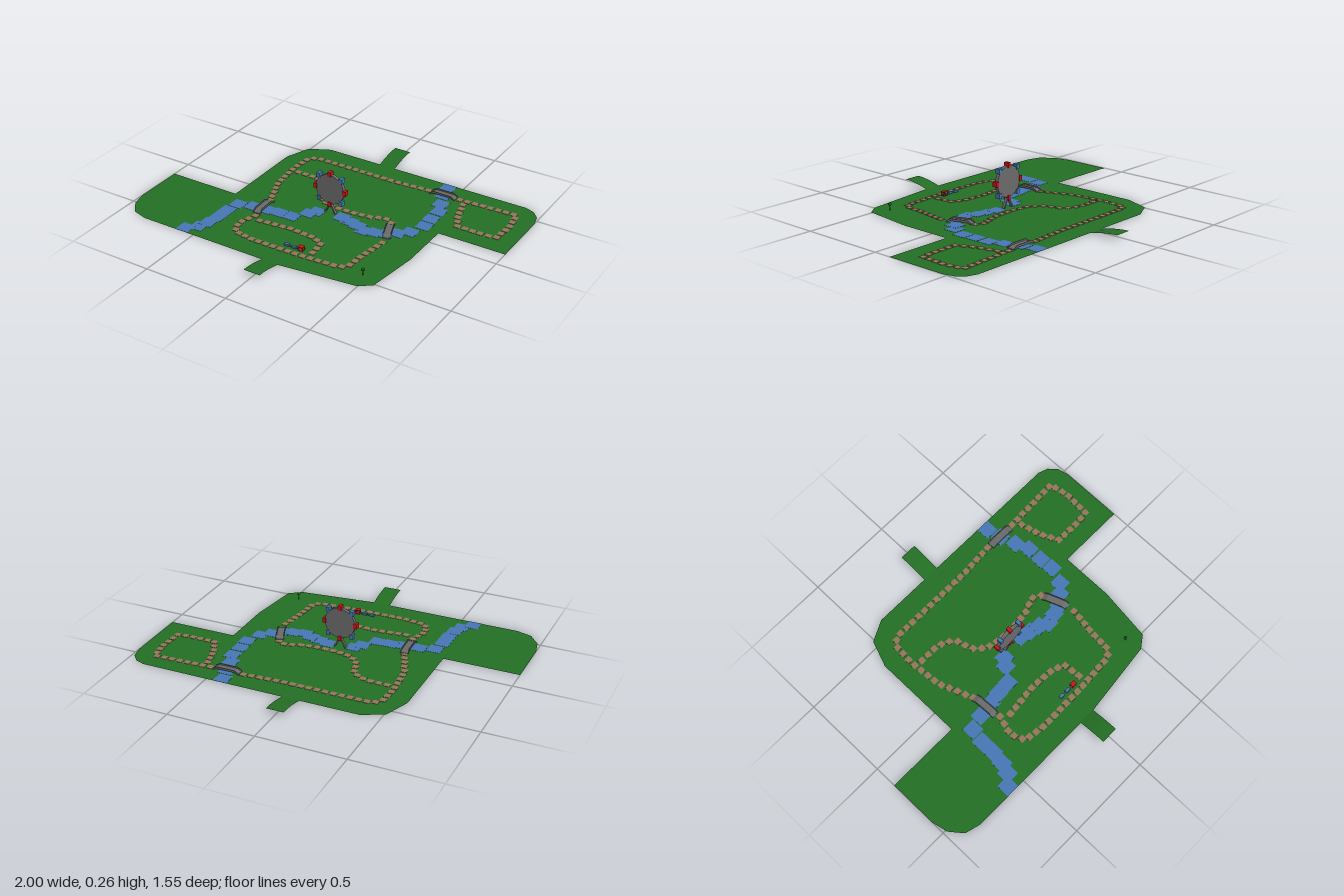
import * as THREE from 'three';

const mat = (color, side = THREE.FrontSide) => new THREE.MeshStandardMaterial({ color, side, flatShading: true });
const grass = mat(0x236e24, THREE.DoubleSide);
const water = mat(0x4676b4);
const paving = mat(0x96735a);
const stone = mat(0x696969);
const red = mat(0xcc1118);
const blue = mat(0x4676b4);
const wood = mat(0x7a5a3c);
const leaf = mat(0x1f6b22);

function add(parent, name, geometry, material, x = 0, y = 0, z = 0) {
  const mesh = new THREE.Mesh(geometry, material);
  mesh.name = name;
  mesh.position.set(x, y, z);
  parent.add(mesh);
  return mesh;
}
const box = (w, h, d) => new THREE.BoxGeometry(w, h, d);

// Square stones spaced evenly along a polyline of [x, z] points
function layPath(parent, points, step = 0.047) {
  const path = new THREE.CurvePath();
  for (let i = 1; i < points.length; i++) {
    path.add(new THREE.LineCurve(new THREE.Vector2(...points[i - 1]), new THREE.Vector2(...points[i])));
  }
  const n = Math.max(1, Math.round(path.getLength() / step));
  for (let i = 0; i <= n; i++) {
    const p = path.getPointAt(i / n);
    add(parent, 'pathStone', box(0.034, 0.002, 0.034), paving, p.x, 0.003, p.y);
  }
}

// Arched strip, trapezoid in profile, running along local x
function archStrip(length, rise, thick, width) {
  const h = length / 2, t = h * 0.68;
  const shape = new THREE.Shape([
    [-h, 0], [-t, rise - thick], [t, rise - thick], [h, 0],
    [h, thick], [t, rise], [-t, rise], [-h, thick],
  ].map(([x, y]) => new THREE.Vector2(x, y)));
  return new THREE.ExtrudeGeometry(shape, { depth: width, bevelEnabled: false }).translate(0, 0, -width / 2);
}

function makeBridge(x, z, angle, length) {
  const bridge = new THREE.Group();
  bridge.name = 'bridge';
  add(bridge, 'bridgeDeck', archStrip(length, 0.015, 0.005, 0.042), stone);
  for (const s of [-1, 1]) add(bridge, 'bridgeRail', archStrip(length, 0.023, 0.009, 0.005), stone, 0, 0, s * 0.021);
  bridge.position.set(x, 0.001, z);
  bridge.rotation.y = angle;
  return bridge;
}

// Curved tongue of grass rising away from the edge of the field
function makeRamp(sign, from, to) {
  const g = new THREE.PlaneGeometry(0.1, 1, 1, 4).rotateX(-Math.PI / 2);
  const p = g.attributes.position;
  for (let i = 0; i < p.count; i++) {
    const t = 0.5 + sign * p.getZ(i);
    p.setY(i, 0.001 + 0.028 * Math.sin(t * Math.PI / 2));
    p.setZ(i, sign * (from + (to - from) * t));
  }
  g.computeVertexNormals();
  return g;
}

function makeWheel() {
  const wheel = new THREE.Group();
  wheel.name = 'bigWheel';
  wheel.position.set(0, 0.153, 0.02);
  add(wheel, 'wheelDisc', new THREE.CylinderGeometry(0.09, 0.09, 0.02, 24).rotateX(Math.PI / 2), stone);
  // Eight cabins, alternately red and blue
  for (let i = 0; i < 8; i++) {
    const a = i * Math.PI / 4, r = i % 2 ? 0.1 : 0.093;
    add(wheel, 'cabin', box(0.02, 0.028, 0.03), i % 2 ? blue : red, r * Math.cos(a), r * Math.sin(a), 0);
  }
  // Splayed legs
  for (const s of [-1, 1]) {
    const leg = add(wheel, 'wheelLeg', box(0.008, 0.07, 0.016), stone, s * 0.017, -0.119, 0);
    leg.rotation.z = s * 0.5;
  }
  return wheel;
}

function makeTrain() {
  const train = new THREE.Group();
  train.name = 'train';
  train.position.set(0, 0.004, 0.433);
  add(train, 'coupling', box(0.09, 0.003, 0.006), stone, 0.03, 0.004, 0);
  for (const x of [-0.012, 0.033]) add(train, 'wagon', box(0.028, 0.011, 0.016), blue, x, 0.0075, 0);
  // Engine with an open cab
  add(train, 'engineBase', box(0.03, 0.004, 0.022), red, 0.078, 0.003, 0);
  add(train, 'engineRoof', box(0.032, 0.004, 0.026), red, 0.078, 0.024, 0);
  for (const sx of [-1, 1]) for (const sz of [-1, 1]) {
    add(train, 'cabPost', box(0.003, 0.022, 0.003), wood, 0.078 + sx * 0.013, 0.012, sz * 0.01);
  }
  return train;
}

export function createModel() {
  const park = new THREE.Group();
  park.name = 'park';

  // Flat field
  const outline = [
    [-1, 0.13], [-0.565, 0.13], [-0.565, -0.39], [-0.51, -0.54], [-0.39, -0.6], [0.89, -0.6], [0.945, -0.58],
    [0.985, -0.535], [1, -0.47], [1, -0.105], [0.605, -0.105], [0.605, 0.2], [0.565, 0.51], [0.495, 0.56],
    [0.05, 0.61], [-0.83, 0.61], [-0.92, 0.585], [-0.98, 0.51], [-1, 0.42],
  ];
  const field = new THREE.Shape(outline.map(([x, z]) => new THREE.Vector2(x, -z)));
  add(park, 'field', new THREE.ShapeGeometry(field).rotateX(-Math.PI / 2), grass, 0, 0.001, 0);
  add(park, 'frontRamp', makeRamp(1, 0.605, 0.775), grass);
  add(park, 'backRamp', makeRamp(-1, 0.6, 0.78), grass);

  // River of overlapping square tiles
  const river = [
    [0.42, -0.56], [0.44, -0.475], [0.47, -0.385], [0.5, -0.305], [0.5, -0.215], [0.505, -0.13], [0.47, -0.035],
    [0.42, 0.01], [0.37, 0.055], [0.31, 0.07], [0.25, 0.085], [0.2, 0.06], [0.14, 0.045], [0.08, 0.03],
    [-0.07, 0.05], [-0.1, 0.09], [-0.16, 0.165], [-0.24, 0.17], [-0.31, 0.18], [-0.4, 0.19], [-0.485, 0.215],
    [-0.5, 0.3], [-0.5, 0.38], [-0.51, 0.46], [-0.53, 0.52], [-0.58, 0.57],
  ];
  river.forEach(([x, z], i) => add(park, 'riverTile', box(0.08, 0.001, 0.08), water, x, 0.0016 + (i % 2) * 0.0004, z));

  // Footpaths
  layPath(park, [[0.34, -0.48], [0.13, -0.465], [-0.4, -0.465], [-0.44, -0.43], [-0.45, -0.3], [-0.43, -0.1], [-0.39, 0], [-0.355, 0.09]]);
  layPath(park, [[0.54, -0.48], [0.88, -0.495], [0.9, -0.38], [0.89, -0.23], [0.83, -0.22], [0.66, -0.22], [0.61, -0.32], [0.58, -0.44]]);
  layPath(park, [[-0.33, 0.27], [-0.365, 0.38], [-0.33, 0.46], [-0.2, 0.48], [0.1, 0.475], [0.33, 0.46], [0.365, 0.43], [0.375, 0.3], [0.4, 0.14]]);
  layPath(park, [[0.34, -0.06], [0.29, -0.085], [0.2, -0.05], [0.1, -0.04], [0, -0.04], [-0.1, -0.06], [-0.16, -0.12], [-0.18, -0.2], [-0.23, -0.25], [-0.3, -0.265], [-0.4, -0.265]]);
  layPath(park, [[-0.28, 0.3], [-0.09, 0.28], [0.06, 0.29], [0.13, 0.32], [0.14, 0.42]]);

  park.add(
    makeBridge(0.44, -0.475, 0, 0.155),
    makeBridge(-0.345, 0.17, -Math.PI / 2 + 0.05, 0.15),
    makeBridge(0.37, 0.022, -Math.PI / 2 + 0.36, 0.145),
    makeWheel(),
    makeTrain(),
  );

  // Small tree
  const tree = new THREE.Group();
  tree.name = 'tree';
  add(tree, 'trunk', new THREE.CylinderGeometry(0.002, 0.002, 0.03, 6), wood, 0, 0.015, 0);
  add(tree, 'crown', new THREE.IcosahedronGeometry(0.01, 1), leaf, 0, 0.036, 0);
  tree.position.set(0.472, 0.001, 0.46);
  park.add(tree);

  return park;
}
